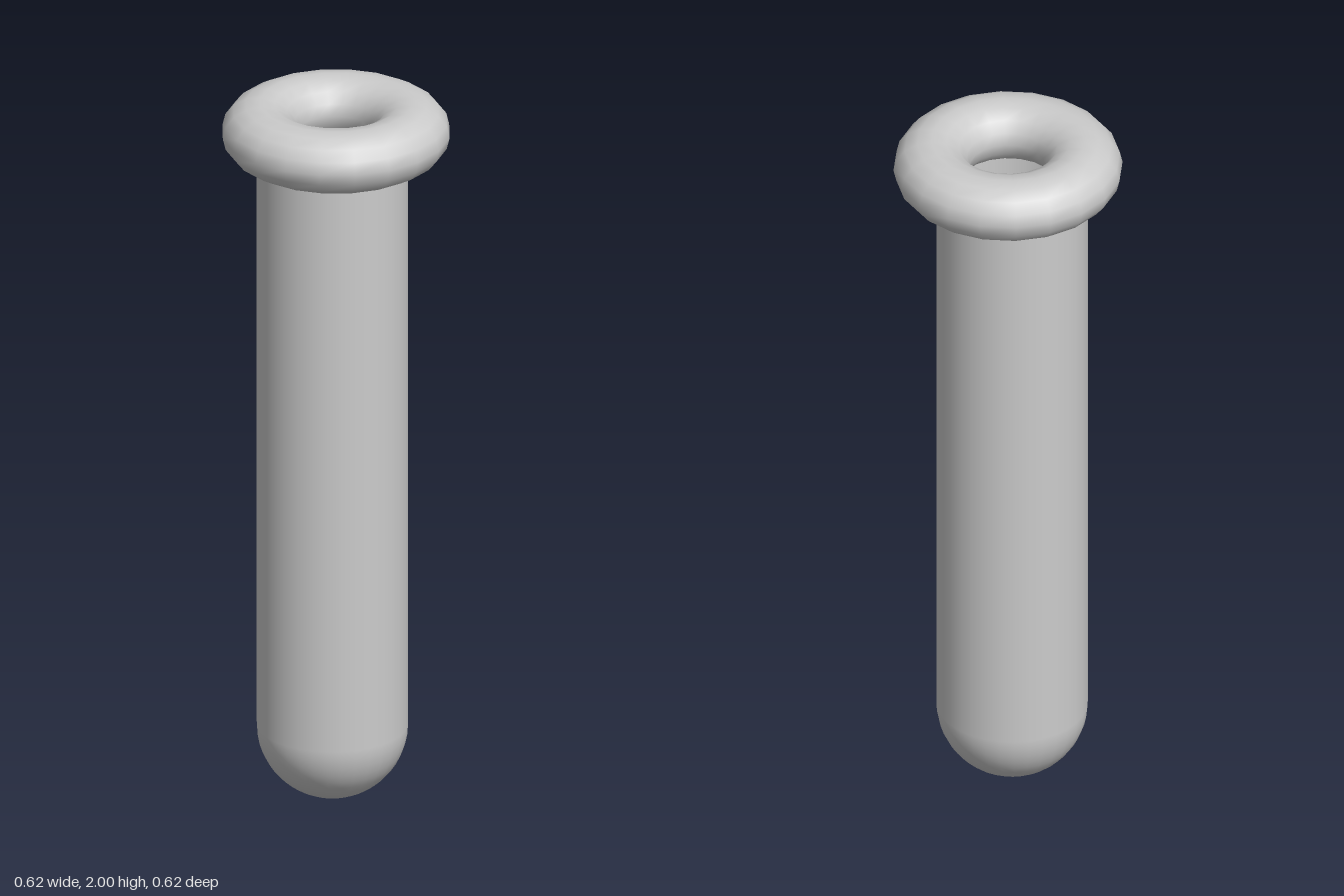
import * as THREE from 'three';

export function createModel() {
  const model = new THREE.Group();
  const material = new THREE.MeshStandardMaterial({ color: 0xcccccc, side: THREE.DoubleSide });
  const radius = 0.203, rimHeight = 0.085, tubeTop = 2 - rimHeight;

  const add = (name, geometry, x, y, z) => {
    const mesh = new THREE.Mesh(geometry, material);
    mesh.name = name;
    mesh.position.set(x, y, z);
    model.add(mesh);
    return mesh;
  };

  // Tube and its round bottom sit slightly off the rim's axis
  const cx = -0.003, cz = 0.016;
  const length = tubeTop - radius;
  add('tubeWall', new THREE.CylinderGeometry(radius, radius, length, 32, 1, true),
    cx, radius + length / 2, cz);

  // Hollow hemispherical bottom
  add('roundBottom',
    new THREE.SphereGeometry(radius, 32, 12, 0, Math.PI * 2, Math.PI / 2, Math.PI / 2),
    cx, radius, cz);

  // Rolled lip: a slightly flattened ring around the mouth
  const rim = new THREE.TorusGeometry(0.205, 0.1025, 16, 20);
  rim.rotateX(-Math.PI / 2);
  rim.scale(1, rimHeight / 0.1025, 1);
  add('rim', rim, 0, tubeTop, 0);

  return model;
}
